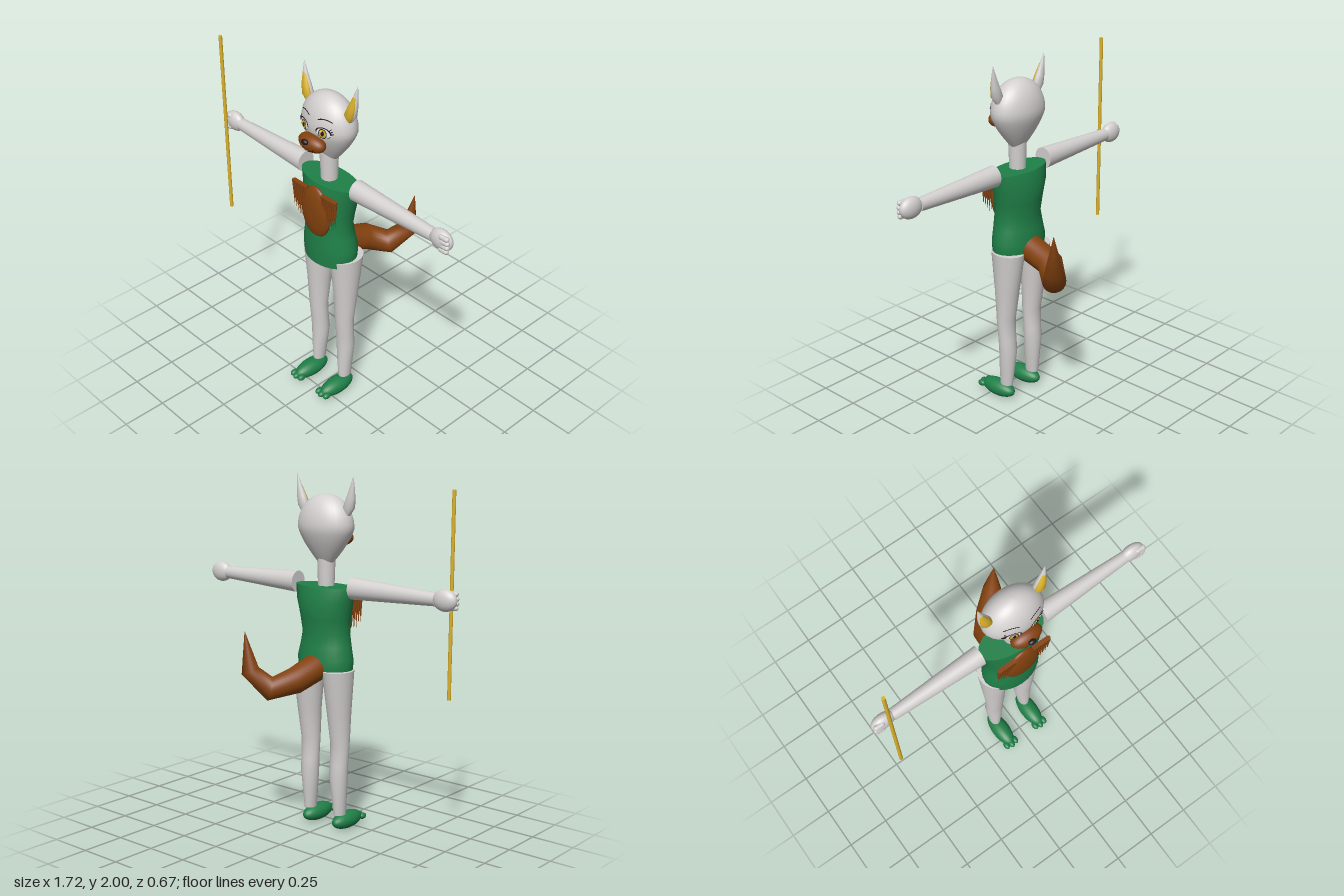
import * as THREE from 'three';

const V = (x, y, z) => new THREE.Vector3(x, y, z);
const colour = (name, hex) => {
  const m = new THREE.MeshStandardMaterial({ color: hex });
  m.name = name;
  return m;
};

// Smooth skin with flat end caps through rings of { c: centre, u, v: half axes }
function loft(rings, seg = 28) {
  const pos = [], idx = [];
  const ring = (r) => {
    for (let j = 0; j < seg; j++) {
      const a = (j / seg) * Math.PI * 2;
      pos.push(...r.c.clone().addScaledVector(r.u, Math.cos(a)).addScaledVector(r.v, Math.sin(a)).toArray());
    }
  };
  rings.forEach(ring);
  for (let i = 0; i < rings.length - 1; i++) {
    for (let j = 0; j < seg; j++) {
      const k = (j + 1) % seg, a = i * seg, b = a + seg;
      idx.push(a + j, b + j, a + k, b + j, b + k, a + k);
    }
  }
  [rings[0], rings[rings.length - 1]].forEach((r, end) => {
    const s = pos.length / 3;
    ring(r);
    pos.push(...r.c.toArray());
    for (let j = 0; j < seg; j++) {
      const k = (j + 1) % seg;
      idx.push(s + seg, s + (end ? k : j), s + (end ? j : k));
    }
  });
  const g = new THREE.BufferGeometry();
  g.setAttribute('position', new THREE.Float32BufferAttribute(pos, 3));
  g.setIndex(idx);
  g.computeVertexNormals();
  return g;
}

// Horizontal rings: [y, x centre, z centre, x radius, z radius]
const upright = (rows) => loft(rows.map(([y, x, z, rx, rz]) => ({ c: V(x, y, z), u: V(rx, 0, 0), v: V(0, 0, rz) })));

// Rings square to a bending path: [x, y, z, radius]
function bent(rows) {
  const p = rows.map((r) => V(r[0], r[1], r[2]));
  return loft(rows.map((r, i) => {
    const t = p[Math.min(i + 1, p.length - 1)].clone().sub(p[Math.max(i - 1, 0)]).normalize();
    const u = t.clone().cross(V(1, 0, 1)).normalize();
    return { c: p[i], u: u.clone().multiplyScalar(r[3]), v: u.clone().cross(t).multiplyScalar(r[3]) };
  }));
}

const ball = (rx, ry, rz) => new THREE.SphereGeometry(1, 28, 18).scale(rx, ry, rz);

// Head outline and the front surfaces that face details lie on
function headWidth(y) {
  if (y > 1.72) return 0.175 * Math.sqrt(Math.max(0, 1 - ((y - 1.72) / 0.18) ** 2));
  return 0.175 - 0.125 * ((1.72 - y) / 0.19) ** 1.4;
}
const HEAD_Z = 0.135, DEPTH = 0.117 / 0.175;
const headFront = (x, y) => HEAD_Z + DEPTH * Math.sqrt(Math.max(0, headWidth(y) ** 2 - x * x));
const muzzleFront = (x, y) =>
  0.255 + 0.05 * Math.sqrt(Math.max(0, 1 - (x / 0.09) ** 2 - ((y - 1.655) / 0.048) ** 2));

// Thin curved plate: part of a ring laid on a surface
function plate(surface, cx, cy, sx, sy, inner, lift, from = 0, sweep = Math.PI * 2) {
  const g = new THREE.RingGeometry(inner, 1, 28, 4, from, sweep).scale(sx, sy, 1).translate(cx, cy, 0);
  const p = g.attributes.position;
  for (let i = 0; i < p.count; i++) p.setZ(i, surface(p.getX(i), p.getY(i)) + lift);
  g.computeVertexNormals();
  return g;
}

export function createModel() {
  const fur = colour('pale grey fur', 0xd3d0cf);
  const green = colour('green cloth', 0x1f8048);
  const brown = colour('brown fur', 0x84420f);
  const gold = colour('gold', 0xdab22c);
  const white = colour('eye white', 0xf6f6f6);
  const dark = colour('near black', 0x22181f);
  dark.side = THREE.DoubleSide;

  const model = new THREE.Group();
  model.name = 'foxWithStaff';
  const add = (name, geo, mat, x = 0, y = 0, z = 0) => {
    const m = new THREE.Mesh(geo, mat);
    m.name = name;
    m.position.set(x, y, z);
    model.add(m);
    return m;
  };

  // Head and neck
  const rows = [];
  for (let i = 0; i <= 24; i++) {
    const y = 1.715 - 0.185 * Math.cos((i / 24) * Math.PI);
    const w = Math.max(headWidth(y), 0.0005);
    rows.push([y, 0, HEAD_Z, w, w * DEPTH]);
  }
  add('head', upright(rows), fur);
  add('neck', new THREE.CylinderGeometry(0.051, 0.045, 0.19, 28), fur, 0, 1.475, 0.14);

  // Muzzle
  add('muzzle', ball(0.09, 0.048, 0.05), brown, 0, 1.655, 0.255);
  add('nose', ball(0.022, 0.015, 0.014), dark, 0, 1.678, 0.305);
  add('mouth', plate(muzzleFront, 0, 1.66, 0.06, 0.038, 0.9, 0.003, Math.PI * 1.1, Math.PI * 0.8), dark);

  // Torso, chest fur and tail
  add('torso', upright([
    [0.9, 0, 0.137, 0.165, 0.116], [0.95, 0, 0.136, 0.172, 0.119], [1.0, 0, 0.135, 0.174, 0.12],
    [1.07, 0, 0.139, 0.158, 0.114], [1.14, 0, 0.142, 0.146, 0.108], [1.22, 0, 0.135, 0.155, 0.111],
    [1.32, 0, 0.13, 0.178, 0.114], [1.4, 0, 0.135, 0.197, 0.095],
  ]), green);
  add('chestPatch', ball(0.105, 0.155, 0.035), brown, 0, 1.225, 0.237);
  add('tail', bent([
    [0, 0.955, 0.06, 0.078], [0.012, 0.905, -0.11, 0.073], [0.1, 0.865, -0.215, 0.066],
    [0.18, 0.965, -0.285, 0.05], [0.203, 1.18, -0.3, 0.001],
  ]), brown);

  // Staff
  add('staff', new THREE.CylinderGeometry(0.01, 0.01, 1.09, 16), gold, -0.778, 1.41, 0.205);

  for (const s of [1, -1]) {
    const side = s > 0 ? 'left' : 'right';

    // Ear with its gold lining
    const ear = [
      [1.79, 0.15, 0.135, 0.014, 0.014], [1.83, 0.157, 0.135, 0.036, 0.026], [1.88, 0.171, 0.133, 0.028, 0.022],
      [1.94, 0.185, 0.129, 0.015, 0.012], [2.0, 0.195, 0.125, 0.001, 0.001],
    ];
    add(side + 'Ear', upright(ear.map(([y, x, z, rx, rz]) => [y, x * s, z, rx, rz])), fur);
    add(side + 'EarLining', upright(ear.slice(0, 4).map(([y, x, z, rx, rz], i) =>
      [y, (x - 0.001) * s, z + rz * 0.3 + 0.002, rx * (i === 3 ? 0.7 : 0.9), rz * 0.8])), gold);

    // Eye and brow
    const ex = 0.071 * s, ey = 1.732;
    add(side + 'EyeWhite', plate(headFront, ex, ey, 0.041, 0.028, 0, 0.003), white);
    add(side + 'Iris', plate(headFront, ex * 0.97, ey - 0.002, 0.023, 0.026, 0, 0.005), gold);
    add(side + 'IrisRim', plate(headFront, ex * 0.97, ey - 0.002, 0.024, 0.027, 0.86, 0.006), dark);
    add(side + 'Pupil', plate(headFront, ex * 0.97, ey, 0.01, 0.014, 0, 0.007), dark);
    add(side + 'EyeGlint', plate(headFront, ex * 0.97 - 0.007, ey + 0.01, 0.005, 0.005, 0, 0.008), white);
    add(side + 'UpperLid', plate(headFront, ex, ey, 0.045, 0.034, 0.84, 0.006, 0, Math.PI), dark);
    add(side + 'LowerLid', plate(headFront, ex, ey, 0.041, 0.029, 0.94, 0.005, Math.PI * 1.1, Math.PI * 0.8), dark);
    for (let i = 0; i < 3; i++) {
      const y = ey + 0.005 + i * 0.011, x = (0.119 - i * 0.006) * s;
      const lash = add(side + 'Lash', new THREE.BoxGeometry(0.016, 0.003, 0.003), dark, x, y, headFront(x, y) + 0.004);
      lash.rotation.set(0, 0.45 * s, (0.35 + i * 0.2) * s);
    }
    add(side + 'Brow', plate(headFront, ex, 1.725, 0.085, 0.083, 0.94, 0.004, Math.PI * 0.34, Math.PI * 0.32), dark);

    // Hanging tufts beside the chest patch
    for (let i = 0; i < 7; i++) {
      const len = 0.215 - 0.006 * Math.abs(i - 3) * (i > 3 ? 3 : 1);
      const tuft = new THREE.ConeGeometry(0.014, len, 10).rotateX(Math.PI).translate(0, -len / 2, 0);
      add(side + 'ChestTuft', tuft, brown, s * (0.068 + i * 0.0145), 1.36, 0.247).rotation.z = s * (i - 3) * 0.008;
    }

    // Arm, hand and curled fingers
    add(side + 'Arm', new THREE.CylinderGeometry(0.034, 0.058, 0.54, 28)
      .rotateZ(-s * Math.PI / 2).scale(1, 1.04, 0.95), fur, s * 0.465, 1.402, 0.13);
    add(side + 'Hand', ball(0.071, 0.058, 0.038), fur, s * 0.788, 1.403, 0.13);
    for (let i = 0; i < 4; i++) {
      const finger = new THREE.CapsuleGeometry(0.014, 0.035, 6, 14).rotateZ(Math.PI / 2);
      add(side + 'Finger', finger, fur, s * (0.828 - 0.004 * Math.abs(i - 1.5)), 1.365 + i * 0.024, 0.152);
    }

    // Leg
    add(side + 'Leg', upright([
      [0.1, 0.108, 0.136, 0.031, 0.04], [0.2, 0.106, 0.132, 0.041, 0.046], [0.33, 0.104, 0.125, 0.054, 0.05],
      [0.4, 0.105, 0.13, 0.053, 0.049], [0.52, 0.106, 0.136, 0.057, 0.051], [0.7, 0.107, 0.125, 0.067, 0.071],
      [0.94, 0.105, 0.117, 0.083, 0.101],
    ].map(([y, x, z, rx, rz]) => [y, x * s, z, rx, rz])), fur);

    // Foot and toes
    add(side + 'Foot', ball(0.053, 0.049, 0.118), green, s * 0.108, 0.053, 0.2);
    for (let i = -1; i <= 1; i++) {
      add(side + 'Toe', ball(0.018, 0.018, 0.026), green, s * 0.108 + i * 0.031, 0.05, i ? 0.306 : 0.314);
    }
  }
  return model;
}
